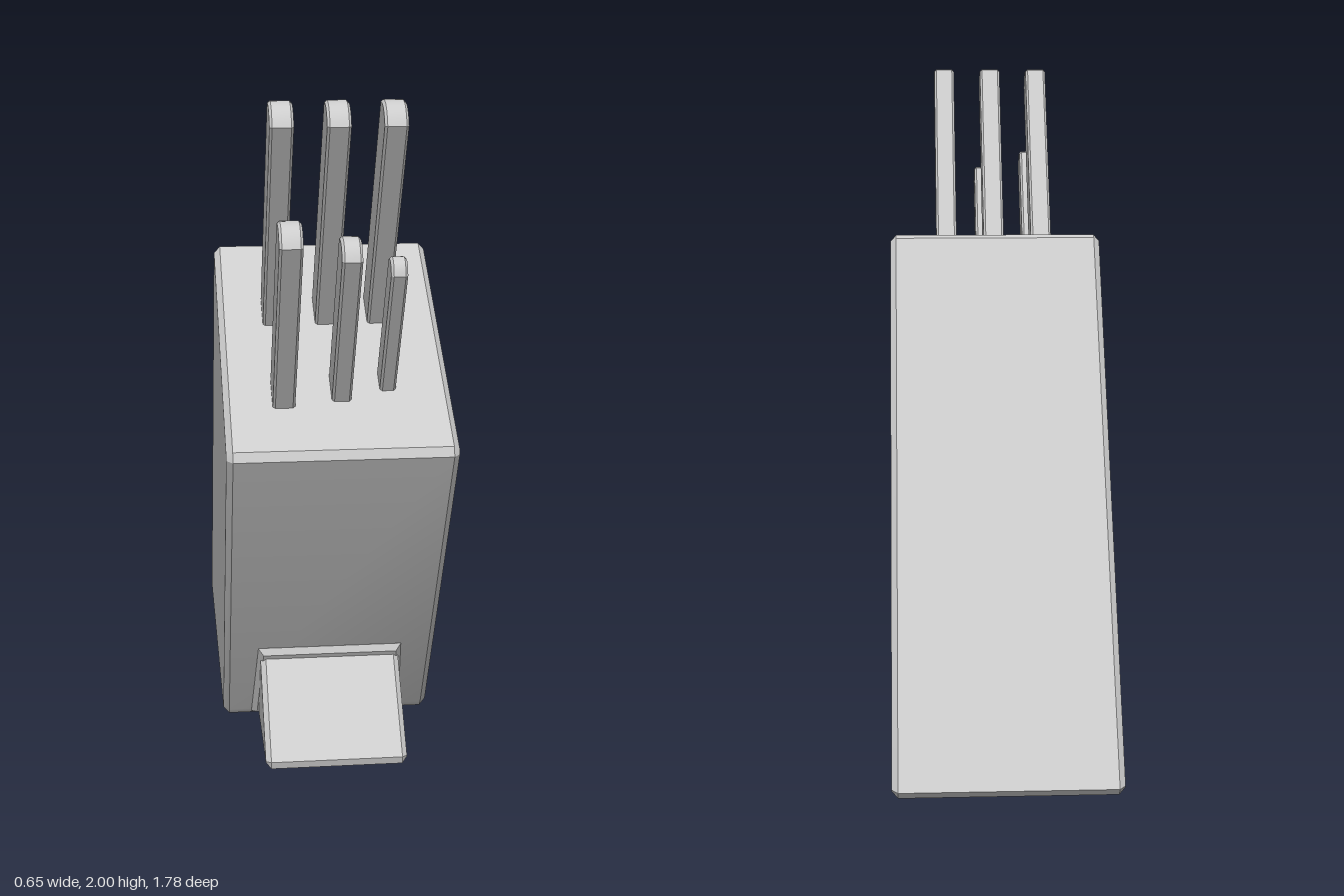
import * as THREE from 'three';
import { toCreasedNormals } from 'three/addons/utils/BufferGeometryUtils.js';

const material = new THREE.MeshStandardMaterial({ color: 0xcccccc });

// Extrudes an outline with chamfered rims that stay inside it, centred on its depth.
function chamferedExtrude(points, width, chamfer) {
  const shape = new THREE.Shape(points.map(([a, b]) => new THREE.Vector2(a, b)));
  const geometry = new THREE.ExtrudeGeometry(shape, {
    depth: width - 2 * chamfer,
    bevelThickness: chamfer,
    bevelSize: chamfer,
    bevelOffset: -chamfer,
    bevelSegments: 1,
  });
  geometry.translate(0, 0, chamfer - width / 2);
  return toCreasedNormals(geometry, 0.5);
}

// Side profile given as (z, y), extruded along x.
function sideMesh(name, points, width, chamfer) {
  const mesh = new THREE.Mesh(chamferedExtrude(points, width, chamfer).rotateY(-Math.PI / 2), material);
  mesh.name = name;
  return mesh;
}

// Handle with a softly domed end, leaning forward 30 degrees out of the block top.
// (z, y) is the point where its front edge leaves the block.
function makeHandle({ x, z, y, width, depth, length }) {
  const sink = 0.05, rise = 0.025, steps = 10;
  const points = [[-depth, -sink], [0, -sink]];
  for (let i = 0; i <= steps; i++) {
    const t = i / steps;
    points.push([-depth * t, length + rise * 4 * t * (1 - t)]);
  }
  const handle = sideMesh('knifeHandle', points, width, 0.007);
  handle.rotation.x = Math.PI / 6;
  handle.position.set(x, y, z);
  return handle;
}

export function createModel() {
  const model = new THREE.Group();
  model.name = 'knifeBlock';

  // Leaning block with small chamfers on every edge
  model.add(sideMesh('block', [
    [-0.875, 0], [0.183, 0], [0.2, 0.02], [0.745, 1.03], [0.735, 1.058],
    [0.0, 1.49], [-0.02, 1.482], [-0.892, 0.022],
  ], 0.654, 0.018));

  // Wedge foot in front
  model.add(sideMesh('foot', [
    [0.1, 0], [0.572, 0], [0.578, 0.024], [0.3, 0.305], [0.22, 0.2],
  ], 0.43, 0.016));

  // Narrow sloped collar where the foot meets the block
  const collar = new THREE.Mesh(chamferedExtrude(
    [[-0.238, 0.012], [0.238, 0.012], [0.222, 0.335], [-0.222, 0.335]], 0.034, 0.0165), material);
  collar.name = 'footCollar';
  collar.position.set(0, 0, 0.189);
  collar.rotation.x = Math.atan2(0.545, 1.01);
  model.add(collar);

  // Handles: three long ones behind, three graded ones in front
  const handles = new THREE.Group();
  handles.name = 'knifeHandles';
  for (const x of [-0.163, -0.008, 0.147]) {
    handles.add(makeHandle({ x, z: 0.305, y: 1.31, width: 0.066, depth: 0.122, length: 0.727 }));
  }
  handles.add(makeHandle({ x: -0.156, z: 0.595, y: 1.14, width: 0.064, depth: 0.116, length: 0.595 }));
  handles.add(makeHandle({ x: 0.01, z: 0.577, y: 1.15, width: 0.056, depth: 0.108, length: 0.527 }));
  handles.add(makeHandle({ x: 0.146, z: 0.545, y: 1.17, width: 0.046, depth: 0.082, length: 0.438 }));
  model.add(handles);

  return model;
}
